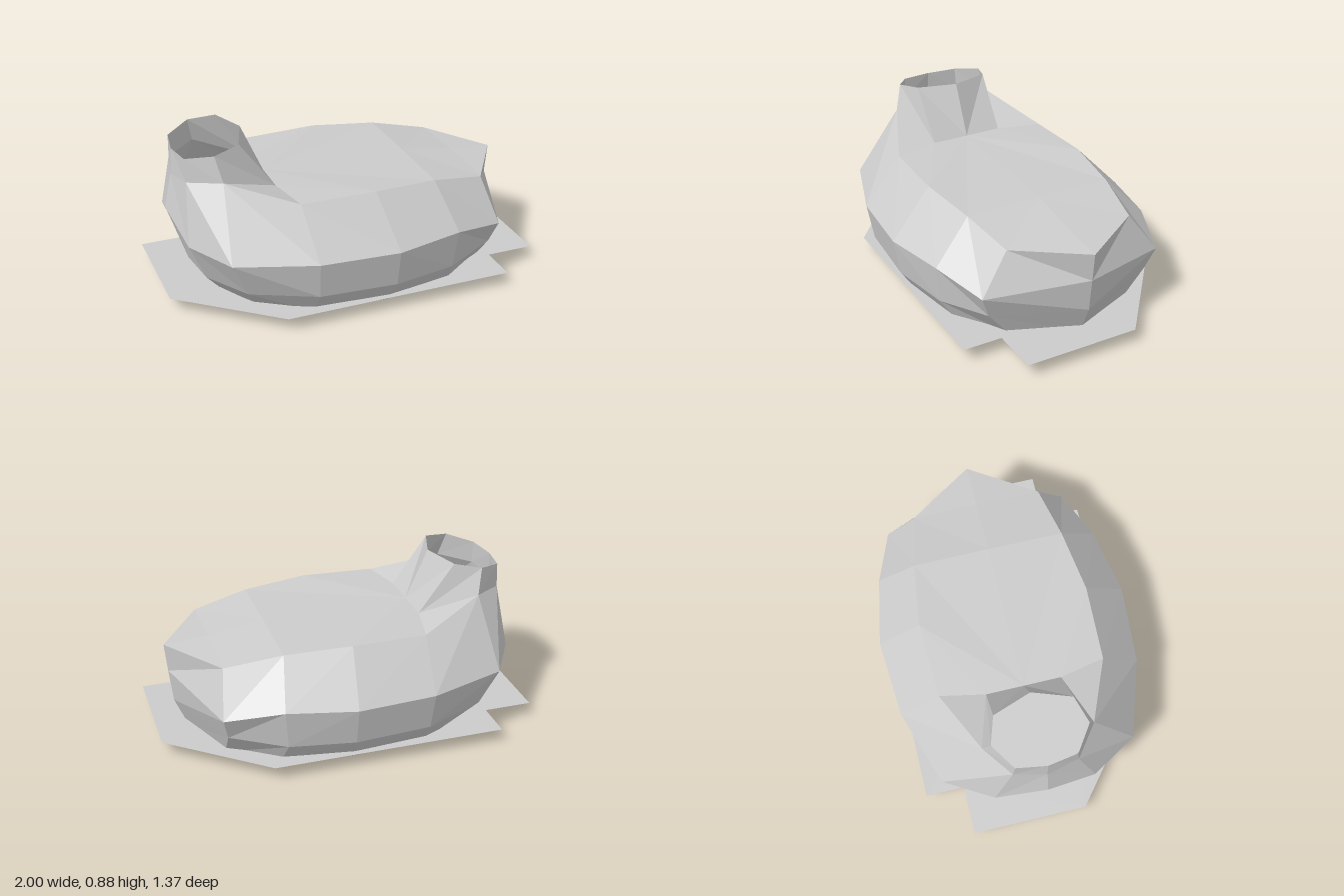
import * as THREE from 'three';

const material = new THREE.MeshStandardMaterial({
  color: 0xcccccc, flatShading: true, side: THREE.DoubleSide,
});

// Faces between two half cross-sections (running from +x to -x), mirrored across z = 0
function mirroredStrip(name, lower, upper) {
  const pos = [];
  const same = (a, b) => a.every((v, i) => v === b[i]);
  const tri = (a, b, c) => {
    if (same(a, b) || same(b, c) || same(a, c)) return;
    pos.push(...a, ...b, ...c);
    for (const p of [a, c, b]) pos.push(p[0], p[1], -p[2]);
  };
  for (let i = 0; i < lower.length - 1; i++) {
    tri(lower[i], upper[i], upper[i + 1]);
    tri(lower[i], upper[i + 1], lower[i + 1]);
  }
  const geo = new THREE.BufferGeometry();
  geo.setAttribute('position', new THREE.Float32BufferAttribute(pos, 3));
  geo.computeVertexNormals();
  const mesh = new THREE.Mesh(geo, material);
  mesh.name = name;
  return mesh;
}

export function createModel() {
  const group = new THREE.Group();
  group.name = 'hollowVessel';

  // Half outlines of the hull, from the right tip round the front to the left tip
  const foot = [[0.82, 0.035, 0], [0.69, 0.035, 0.325], [0.44, 0.035, 0.5], [0.06, 0.035, 0.56],
    [-0.33, 0.035, 0.53], [-0.59, 0.035, 0.36], [-0.7, 0.035, 0.16], [-0.73, 0.035, 0]];
  const low = [[0.89, 0.2, 0], [0.7, 0.2, 0.46], [0.42, 0.17, 0.59], [0.08, 0.17, 0.65],
    [-0.33, 0.17, 0.62], [-0.66, 0.18, 0.48], [-0.81, 0.18, 0.24], [-0.84, 0.18, 0]];
  const belly = [[0.91, 0.38, 0], [0.73, 0.325, 0.51], [0.44, 0.38, 0.615], [0.08, 0.37, 0.685],
    [-0.34, 0.37, 0.655], [-0.75, 0.375, 0.52], [-0.9, 0.39, 0.27], [-0.945, 0.5, 0]];
  const shoulder = [[0.925, 0.535, 0], [0.69, 0.54, 0.355], [0.39, 0.595, 0.41], [0.04, 0.615, 0.455],
    [-0.36, 0.61, 0.44], [-0.71, 0.72, 0.29], [-0.87, 0.7, 0.17], [-0.905, 0.68, 0]];

  // Neck outlines, from its deck side round to the left tip
  const neckBase = [[-0.41, 0.615, 0], [-0.41, 0.615, 0.2], ...shoulder.slice(5)];
  const neckRim = [[-0.53, 0.885, 0], [-0.6, 0.878, 0.205], [-0.74, 0.855, 0.25],
    [-0.87, 0.825, 0.16], [-0.895, 0.82, 0]];

  // Shallow cone underneath
  group.add(mirroredStrip('bottom', foot.map(() => [0.05, 0.003, 0]), foot));

  // Hull walls
  group.add(mirroredStrip('lowerHull', foot, low));
  group.add(mirroredStrip('middleHull', low, belly));
  group.add(mirroredStrip('upperHull', belly, shoulder));

  // Deck, closed along the centre line and meeting the neck
  const deckInner = [shoulder[0], [0.69, 0.555, 0], [0.39, 0.6, 0],
    neckBase[0], neckBase[1], neckBase[1]];
  group.add(mirroredStrip('deck', shoulder.slice(0, 6), deckInner));

  // Open neck
  group.add(mirroredStrip('neck', neckBase, neckRim));

  // Flat plate through the hull, the same after a half turn
  const half = [[-1, -0.41], [-1, 0.21], [-0.5, 0.62], [0.74, 0.62], [0.74, 0.41]];
  const outline = [...half, ...half.map(([x, z]) => [-x, -z])]
    .map(([x, z]) => new THREE.Vector2(x, -z));
  const plateGeo = new THREE.ShapeGeometry(new THREE.Shape(outline));
  plateGeo.rotateX(-Math.PI / 2);
  const plate = new THREE.Mesh(plateGeo, material);
  plate.name = 'groundPlate';
  plate.position.y = 0.078;
  group.add(plate);

  return group;
}
